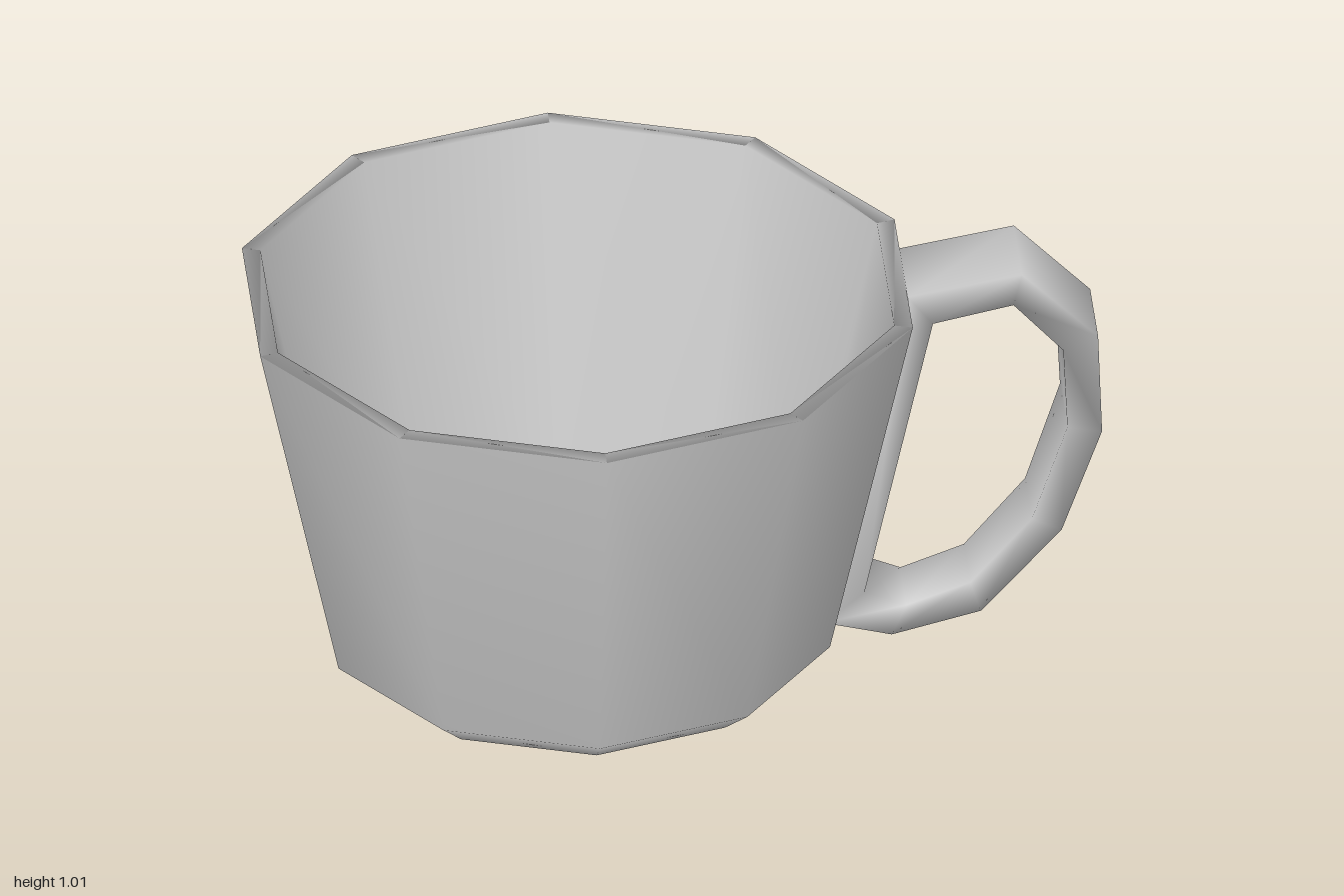
import * as THREE from 'three';

const material = new THREE.MeshStandardMaterial({ color: 0xcccccc });

// Ten-sided tapered cup: outer wall, rim, inner wall and floor in one profile
function createCup() {
  const profile = [
    [0, 0], [0.53, 0], [0.61, 0.065], [0.81, 0.965],
    [0.765, 0.965], [0.575, 0.11], [0.53, 0.06], [0, 0.06],
  ].map(([r, y]) => new THREE.Vector2(r, y));
  const cup = new THREE.Mesh(new THREE.LatheGeometry(profile, 10), material);
  cup.name = 'cup';
  cup.position.x = -0.23;
  return cup;
}

// Closed handle ring: a four-cornered section swept between outer and inner outlines
function createHandle() {
  const outer = [
    [0.54, 0.967], [0.81, 1.015], [0.99, 0.835], [1.0, 0.57],
    [0.905, 0.3], [0.715, 0.085], [0.505, 0.03], [0.345, 0.07],
  ];
  const inner = [
    [0.6, 0.89], [0.79, 0.932], [0.908, 0.8], [0.918, 0.585],
    [0.835, 0.335], [0.69, 0.165], [0.54, 0.11], [0.44, 0.15],
  ];
  const halfWidth = (y) => 0.084 + 0.03 * y; // wider towards the top
  const n = outer.length;
  const positions = [];
  const indices = [];
  for (let i = 0; i < n; i++) {
    const [ox, oy] = outer[i];
    const [ix, iy] = inner[i];
    const wo = halfWidth(oy);
    const wi = halfWidth(iy);
    positions.push(ox, oy, wo, ox, oy, -wo, ix, iy, -wi, ix, iy, wi);
    const next = ((i + 1) % n) * 4;
    for (let j = 0; j < 4; j++) {
      const k = (j + 1) % 4;
      const a = i * 4 + j, b = i * 4 + k, c = next + k, d = next + j;
      indices.push(a, d, c, a, c, b);
    }
  }
  const geometry = new THREE.BufferGeometry();
  geometry.setAttribute('position', new THREE.Float32BufferAttribute(positions, 3));
  geometry.setIndex(indices);
  geometry.computeVertexNormals();
  const handle = new THREE.Mesh(geometry, material);
  handle.name = 'handle';
  return handle;
}

export function createModel() {
  const group = new THREE.Group();
  group.name = 'mug';
  group.add(createCup(), createHandle());
  return group;
}
